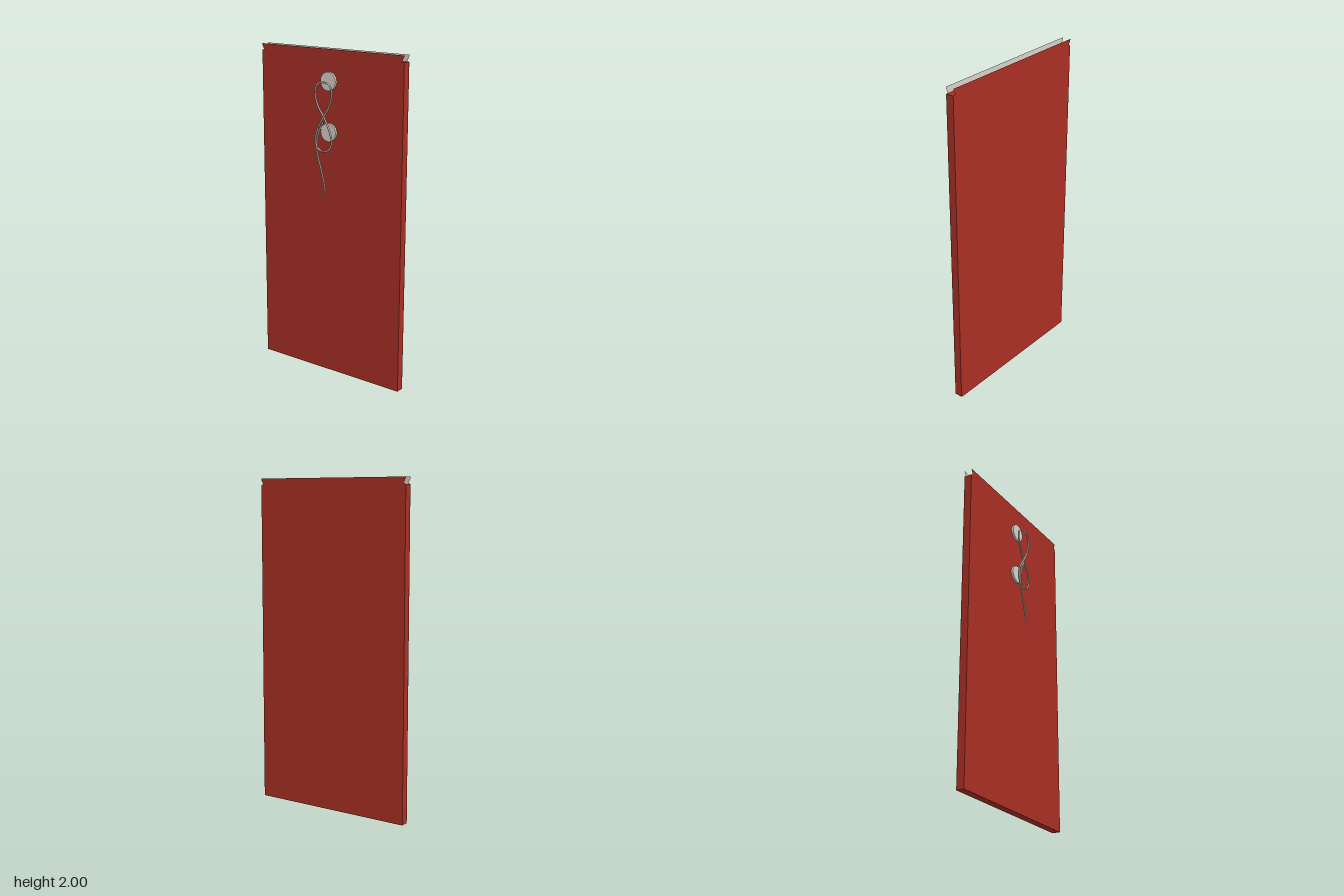
import * as THREE from 'three';

const red = new THREE.MeshStandardMaterial({ color: 0xa92f24 });
red.name = 'red card';
const pale = new THREE.MeshStandardMaterial({ color: 0xd8d2c8 });
pale.name = 'pale lining';
const cord = new THREE.MeshStandardMaterial({ color: 0xc8c3ba });
cord.name = 'grey cord';

const W = 0.515, H = 2, RIM = 1.96, FRONT = -0.008, BACK = -0.06;

function add(parent, name, geometry, material, x = 0, y = 0, z = 0) {
  const mesh = new THREE.Mesh(geometry, material);
  mesh.name = name;
  mesh.position.set(x, y, z);
  parent.add(mesh);
  return mesh;
}

// Panel outline with a small nick in each side just above the gussets
function panelShape() {
  return new THREE.Shape([
    [-W, 0], [W, 0], [W, RIM], [W - 0.014, RIM + 0.005], [W, H - 0.008], [W, H],
    [-W, H], [-W, H - 0.008], [-W + 0.014, RIM + 0.005], [-W, RIM],
  ].map(([x, y]) => new THREE.Vector2(x, y)));
}

// Card panel: red outside, pale lining inside
function addPanel(parent, name, z, facing) {
  const panel = new THREE.Group();
  panel.name = name;
  const outside = add(panel, name + 'Outside', new THREE.ShapeGeometry(panelShape()), red);
  const inside = add(panel, name + 'Lining', new THREE.ShapeGeometry(panelShape()), pale, 0, 0, -0.001);
  inside.rotation.y = Math.PI;
  outside.position.z = 0;
  panel.position.z = z;
  if (facing < 0) panel.rotation.y = Math.PI;
  parent.add(panel);
}

// Smooth round cord through a few points
function addCord(parent, name, points, closed) {
  const curve = new THREE.CatmullRomCurve3(points.map((p) => new THREE.Vector3(...p)), closed);
  add(parent, name, new THREE.TubeGeometry(curve, 96, 0.0055, 8, closed), cord);
}

export function createModel() {
  const model = new THREE.Group();
  model.name = 'stringTieEnvelope';

  // Front and back panels, with the body between them
  addPanel(model, 'frontPanel', FRONT, 1);
  addPanel(model, 'backPanel', BACK, -1);
  const depth = FRONT - BACK - 0.004;
  add(model, 'gussetBody', new THREE.BoxGeometry(2 * W, RIM, depth), red, 0, RIM / 2, (FRONT + BACK) / 2);

  // Two paper button discs
  for (const [name, y, z] of [['upperButton', 1.815, 0.001], ['lowerButton', 1.515, -0.001]]) {
    const disc = add(model, name, new THREE.CylinderGeometry(0.055, 0.055, 0.014, 32), pale, 0, y, z);
    disc.rotation.x = Math.PI / 2;
  }

  // Figure-of-eight cord and its hanging tail
  addCord(model, 'cordLoop', [
    [0, 1.815, 0.05], [0.045, 1.8, 0.05], [0.06, 1.755, 0.05], [0.042, 1.68, 0.05],
    [0, 1.61, 0.053], [-0.042, 1.54, 0.05], [-0.06, 1.47, 0.05], [-0.042, 1.425, 0.05],
    [0, 1.408, 0.05], [0.042, 1.425, 0.05], [0.06, 1.47, 0.05], [0.042, 1.54, 0.05],
    [0, 1.61, 0.045], [-0.042, 1.68, 0.05], [-0.06, 1.755, 0.05], [-0.045, 1.8, 0.05],
  ], true);
  addCord(model, 'cordTail', [
    [0, 1.585, 0.05], [-0.025, 1.54, 0.052], [-0.043, 1.48, 0.0545], [-0.043, 1.4, 0.0545],
    [-0.02, 1.32, 0.0545], [0.004, 1.24, 0.0545], [0.015, 1.18, 0.0545], [0.012, 1.15, 0.0545],
  ], false);

  return model;
}
